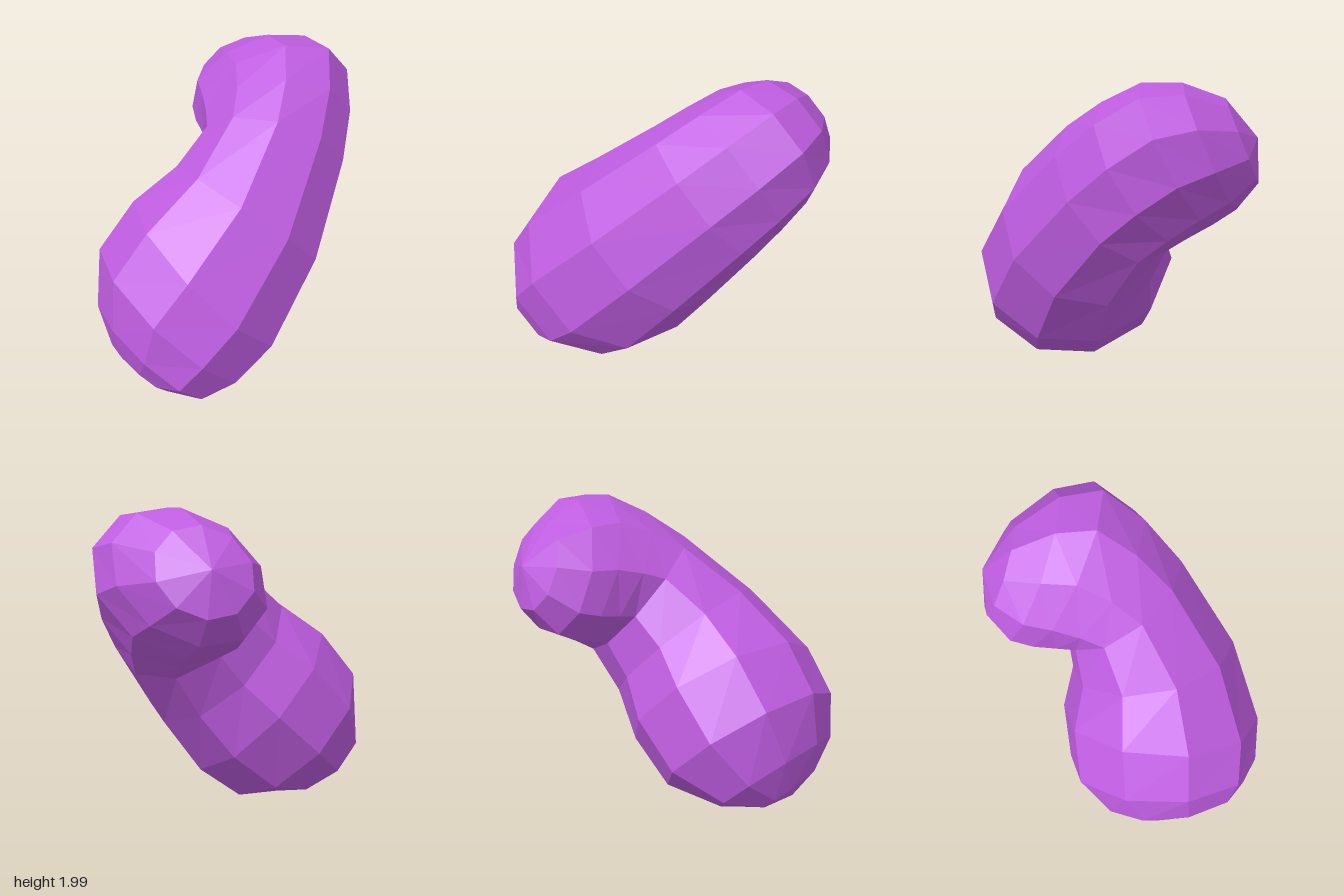
import * as THREE from 'three';

const SIDES = 10;

// Cross-sections fanned around the notch: [inner u, inner z, outer u, outer z, half width].
// u runs along the bean's long axis, which leans 45 degrees in the xy plane.
const SECTIONS = [
  [-1.2, 0.08, -1.2, 0.08, 0],
  [-1.13, -0.19, -1.18, 0.37, 0.17],
  [-0.94, -0.41, -1.09, 0.6, 0.385],
  [-0.59, -0.55, -0.89, 0.71, 0.6],
  [-0.2, -0.49, -0.58, 0.78, 0.645],
  [0.06, -0.35, 0.03, 0.72, 0.575],
  [0.3, -0.32, 0.67, 0.5, 0.505],
  [0.34, -0.43, 0.99, 0.34, 0.475],
  [0.39, -0.56, 1.24, 0.14, 0.44],
  [0.47, -0.68, 1.27, -0.12, 0.38],
  [0.67, -0.76, 1.16, -0.43, 0.265],
  [0.94, -0.69, 0.94, -0.69, 0],
];

function beanGeometry() {
  const points = [];
  const faces = [];
  const last = SECTIONS.length - 1;

  // Elliptical rings, turned half a step so a flat strip runs along back and notch
  for (const [iu, iz, ou, oz, width] of SECTIONS) {
    for (let j = 0; j < SIDES; j++) {
      const t = ((j + 0.5) / SIDES) * Math.PI * 2;
      const c = Math.cos(t) / 2;
      const u = (iu + ou) / 2 + c * (ou - iu);
      const z = (iz + oz) / 2 + c * (oz - iz);
      const v = Math.sin(t) * width;
      points.push((u - v) * Math.SQRT1_2, 1 + (u + v) * Math.SQRT1_2, z);
    }
  }

  // Skin between rings; the first and last ring close to a point
  for (let i = 0; i < last; i++) {
    for (let j = 0; j < SIDES; j++) {
      const k = (j + 1) % SIDES;
      const a = i * SIDES + j, b = i * SIDES + k;
      const c = a + SIDES, d = b + SIDES;
      if (i > 0) faces.push(a, c, b);
      if (i < last - 1) faces.push(b, c, d);
    }
  }

  const indexed = new THREE.BufferGeometry();
  indexed.setAttribute('position', new THREE.Float32BufferAttribute(points, 3));
  indexed.setIndex(faces);
  const geometry = indexed.toNonIndexed();
  geometry.computeVertexNormals();
  return geometry;
}

export function createModel() {
  const group = new THREE.Group();
  group.name = 'kidneyBean';
  const skin = new THREE.MeshStandardMaterial({ color: 0xbf5de1, flatShading: true });
  const bean = new THREE.Mesh(beanGeometry(), skin);
  bean.name = 'beanBody';
  group.add(bean);
  return group;
}
